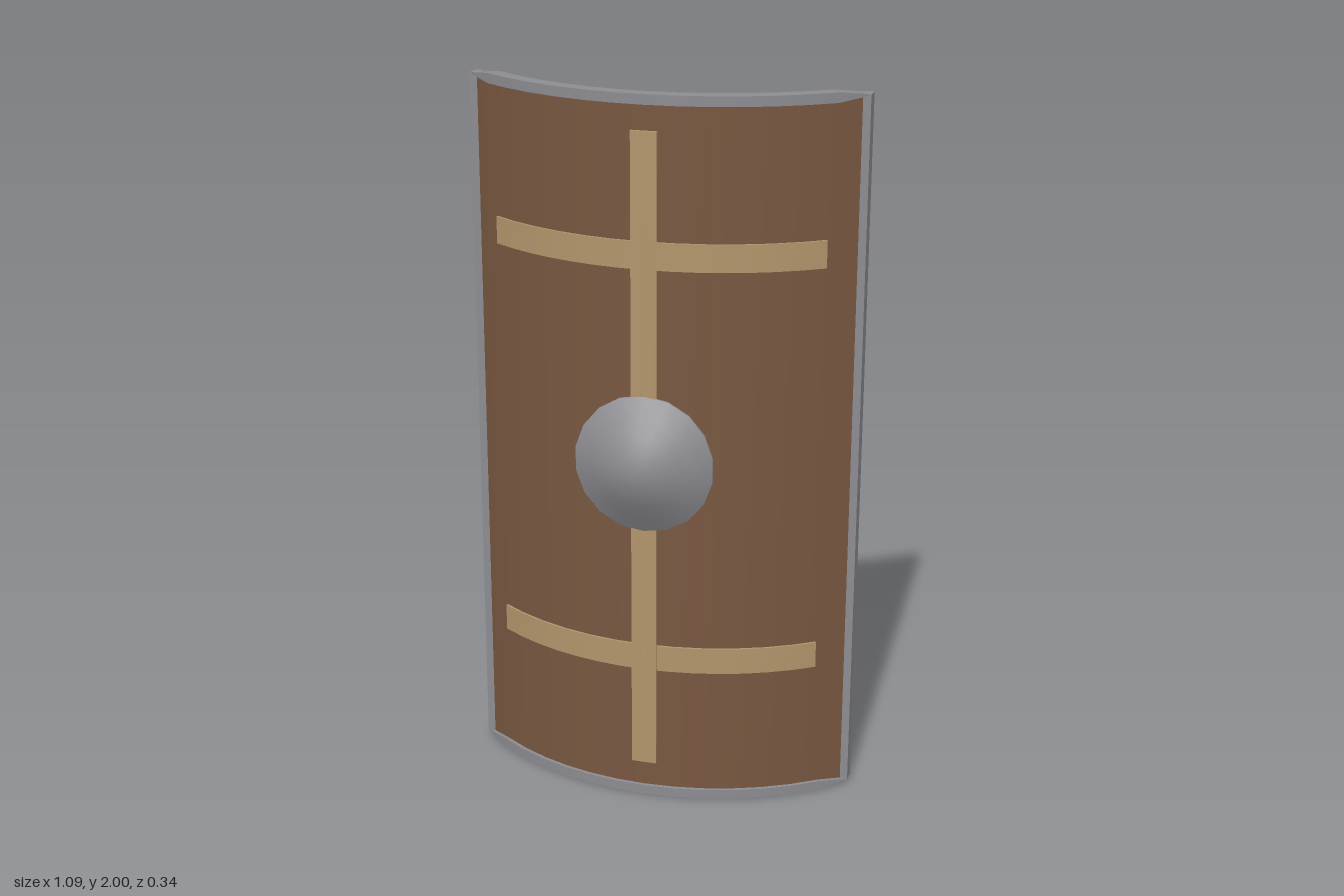
import * as THREE from 'three';
import { toCreasedNormals } from 'three/addons/utils/BufferGeometryUtils.js';

const AXIS_Z = -0.705; // axis of the shield's curve
const HALF = 0.746; // half angle of the curved board

const mat = (color) => new THREE.MeshStandardMaterial({ color });

// Box bent around the vertical axis; taper thins its ends in height.
function band(r0, r1, half, y0, y1, taper = 0, segs = 14) {
  const g = new THREE.BoxGeometry(2, y1 - y0, r1 - r0, segs, 1, 1);
  const p = g.attributes.position;
  for (let i = 0; i < p.count; i++) {
    const u = p.getX(i), y = p.getY(i), r = (r0 + r1) / 2 + p.getZ(i);
    const pinch = Math.abs(u) > 0.999 ? taper * Math.sign(y) : 0;
    p.setXYZ(i, r * Math.sin(u * half), (y0 + y1) / 2 + y - pinch, AXIS_Z + r * Math.cos(u * half));
  }
  g.computeVertexNormals();
  return g;
}

function box(w, h, d, x, y, z) {
  return new THREE.BoxGeometry(w, h, d).translate(x, y, z);
}

export function createModel() {
  const model = new THREE.Group();
  model.name = 'shield';
  const metal = mat(0x8c8c91), brown = mat(0x775740), tan = mat(0xa98a64), trim = mat(0xb2956c);
  const add = (name, geometry, material, parent = model) => {
    const mesh = new THREE.Mesh(geometry, material);
    mesh.name = name;
    parent.add(mesh);
  };

  // Curved board: painted front and plain back
  add('frontPanel', band(0.766, 0.777, HALF, 0.015, 1.985), brown);
  add('backPanel', band(0.755, 0.766, HALF, 0.015, 1.985), tan);

  // Metal edging
  const rim = new THREE.Group();
  rim.name = 'rim';
  model.add(rim);
  add('bottomRim', band(0.745, 0.787, 0.752, 0, 0.027, 0.011), metal, rim);
  add('topRim', band(0.745, 0.787, 0.752, 1.973, 2, 0.011), metal, rim);
  for (const s of [-1, 1]) {
    add(s > 0 ? 'leftRim' : 'rightRim', box(0.029, 1.976, 0.043, s * 0.53, 1, -0.1525), metal, rim);
  }

  // Decorative strips on the front
  add('verticalStrip', band(0.772, 0.785, 0.045, 0.1, 1.905, 0, 2), trim);
  add('lowerStrip', band(0.772, 0.783, 0.62, 0.39, 0.465), trim);
  add('upperStrip', band(0.772, 0.783, 0.62, 1.54, 1.615), trim);

  // Domed boss
  const profile = [[0, 0.074], [0.194, 0.074], [0.194, 0.079], [0.14, 0.113], [0.098, 0.139],
    [0.065, 0.155], [0.033, 0.165], [0, 0.169]].map(([x, y]) => new THREE.Vector2(x, y));
  const dome = new THREE.LatheGeometry(profile, 18).rotateX(Math.PI / 2).translate(0, 1, 0);
  add('boss', toCreasedNormals(dome, 0.6), metal);

  // Hand grip at the back
  const handle = new THREE.Group();
  handle.name = 'handle';
  model.add(handle);
  for (const s of [-1, 1]) {
    add(s > 0 ? 'upperBracket' : 'lowerBracket', box(0.034, 0.026, 0.127, 0, 1 + s * 0.117, -0.0115), metal, handle);
  }
  add('grip', box(0.034, 0.208, 0.026, 0, 1, -0.062), metal, handle);
  return model;
}
